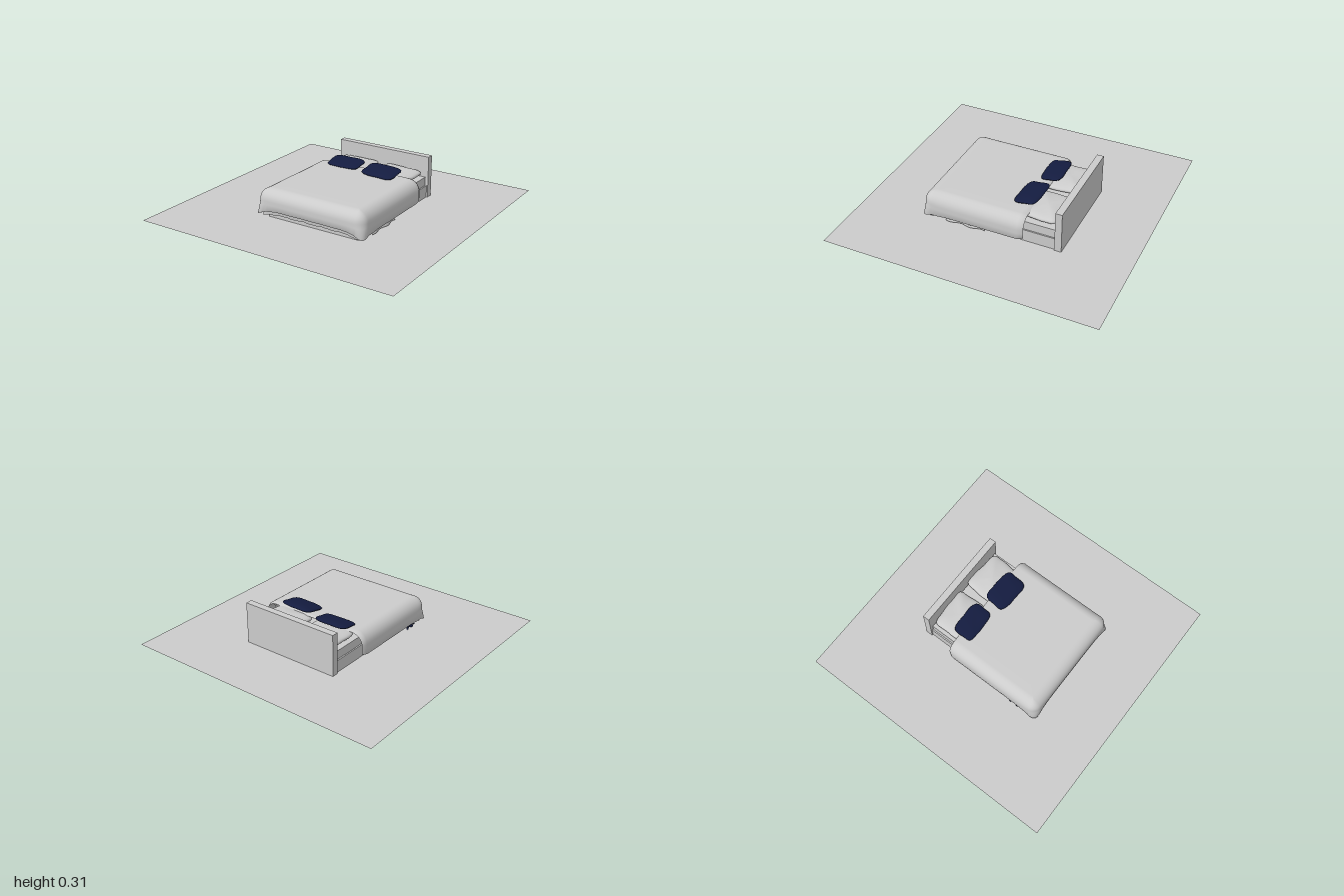
import * as THREE from 'three';

const grey = new THREE.MeshStandardMaterial({ color: 0xcccccc });
const cloth = new THREE.MeshStandardMaterial({ color: 0xcccccc, side: THREE.DoubleSide });
const navy = new THREE.MeshStandardMaterial({ color: 0x141c40, side: THREE.DoubleSide });
const CX = 0.05; // the bed stands a little off centre

function add(group, name, geometry, material) {
  const mesh = new THREE.Mesh(geometry, material);
  mesh.name = name;
  group.add(mesh);
  return mesh;
}

// Box given by its minimum and maximum corners
function box(group, name, [x0, y0, z0], [x1, y1, z1]) {
  const mesh = add(group, name, new THREE.BoxGeometry(x1 - x0, y1 - y0, z1 - z0), grey);
  mesh.position.set((x0 + x1) / 2, (y0 + y1) / 2, (z0 + z1) / 2);
}

// U-shaped outline of the bedding: down one side, round the foot, up the other
function outline(half, head, foot, r) {
  const pts = [];
  const line = (x0, z0, x1, z1, n) => {
    for (let i = 0; i < n; i++) {
      const t = i / n;
      pts.push([x0 + (x1 - x0) * t, z0 + (z1 - z0) * t]);
    }
  };
  const arc = (cx, cz, a0, a1, n) => {
    for (let i = 0; i < n; i++) {
      const a = a0 + (a1 - a0) * i / n;
      pts.push([cx + r * Math.cos(a), cz + r * Math.sin(a)]);
    }
  };
  line(half, head, half, foot - r, 30);
  arc(half - r, foot - r, 0, Math.PI / 2, 10);
  line(half - r, foot, -half + r, foot, 30);
  arc(-half + r, foot - r, Math.PI / 2, Math.PI, 10);
  line(-half, foot - r, -half, head, 30);
  pts.push([-half, head]);
  return pts;
}

// Thick draped cover: rings run from inside the top, round the hem, to the top
function drape({ half, head, foot, top, sideHem, footHem, thick, flare, wave }) {
  const R = 0.085;
  // [inset, drop from the top (0..1)], hem first
  const steps = [[0, 1], [0, 0.72]];
  for (let i = 0; i <= 7; i++) {
    const a = i / 7 * Math.PI / 2;
    steps.push([R * (1 - Math.cos(a)), 0.55 * (1 - Math.sin(a))]);
  }
  steps.push([0.2, 0], [0.32, 0], [half, 0]);

  const ring = ([inset, drop], shell) => {
    const d = Math.min(half, inset + shell);
    const pts = outline(half - d, head, foot - d, d < half ? Math.max(0.07 - d, 0.004) : 0);
    return pts.map(([x, z], i) => {
      const corner = Math.exp(-(((i - 35) / 5) ** 2)) + Math.exp(-(((i - 75) / 5) ** 2));
      const atFoot = THREE.MathUtils.smoothstep(z, foot - 0.13, foot - 0.03);
      const atHead = 1 - THREE.MathUtils.smoothstep(z, head, head + 0.05);
      const hem = sideHem + (footHem - sideHem) * atFoot + 0.015 * atHead;
      const low = Math.max(0, (drop - 0.5) * 2);
      const ripple = wave * low * (Math.sin(i * 0.9) + 0.6 * Math.sin(i * 2.1 + 1));
      const pull = flare * corner * low * low;
      return new THREE.Vector3(
        CX + x + Math.sign(x) * (pull * 0.6 + ripple * 0.4),
        top - shell - drop * (top - hem) + ripple * 0.6 * (1 - corner) - pull * 1.6 + (drop === 1 ? shell : 0),
        z + pull * 0.6);
    });
  };
  const outer = steps.map((s) => ring(s, 0));
  const inner = steps.map((s) => ring(s, thick));
  // Close the head edge by meeting halfway between both shells
  outer.forEach((o, k) => {
    for (const i of [0, o.length - 1]) {
      const mid = o[i].clone().lerp(inner[k][i], 0.5);
      o[i].copy(mid);
      inner[k][i].copy(mid);
    }
  });
  const rings = [...inner.reverse(), ...outer];
  const n = rings[0].length;
  const index = [];
  for (let k = 0; k < rings.length - 1; k++) {
    for (let i = 0; i < n - 1; i++) {
      const a = k * n + i, b = a + 1, c = a + n, d = c + 1;
      index.push(a, c, b, b, c, d);
    }
  }
  const g = new THREE.BufferGeometry().setFromPoints(rings.flat());
  g.setIndex(index);
  g.computeVertexNormals();
  return g;
}

// Soft cushion: a sphere squared off in plan, with light creases
function cushion(w, h, d, n, seed) {
  const g = new THREE.SphereGeometry(1, 64, 24);
  const p = g.attributes.position;
  for (let i = 0; i < p.count; i++) {
    const x = p.getX(i), y = p.getY(i), z = p.getZ(i);
    const r = Math.hypot(x, z);
    const angle = Math.atan2(z, x); // stays defined at the poles
    const c = Math.cos(angle), s = Math.sin(angle);
    const k = 1 / (Math.abs(c) ** n + Math.abs(s) ** n) ** (1 / n);
    const crease = 0.05 * Math.sin(5 * x + 3 * z + seed) * (1 - r * r);
    const edge = 1 + 0.015 * Math.sin(c * 7 + s * 5 + seed);
    p.setXYZ(i, x * k * edge * w / 2, (Math.sign(y) * Math.abs(y) ** 0.85 + crease) * h / 2, z * k * edge * d / 2);
  }
  g.computeVertexNormals();
  return g;
}

export function createModel() {
  const model = new THREE.Group();
  model.name = 'bedOnFloor';

  // Floor
  const floor = add(model, 'floor', new THREE.PlaneGeometry(2, 2), cloth);
  floor.rotation.x = -Math.PI / 2;

  // Frame and mattress
  box(model, 'headboard', [-0.33, 0, -0.51], [0.43, 0.31, -0.46]);
  box(model, 'base', [-0.32, 0, -0.46], [0.42, 0.09, 0.46]);
  box(model, 'mattress', [-0.31, 0.09, -0.455], [0.41, 0.155, 0.45]);

  // Bedding
  add(model, 'duvet', drape({
    half: 0.435, head: -0.25, foot: 0.515, top: 0.215,
    sideHem: 0.05, footHem: 0.07, thick: 0.018, flare: 0.025, wave: 0.001,
  }), cloth);
  add(model, 'underSheet', drape({
    half: 0.415, head: -0.2, foot: 0.495, top: 0.19,
    sideHem: 0.045, footHem: 0.04, thick: 0.008, flare: 0.015, wave: 0.004,
  }), cloth);

  // Loose bedding hanging below the sides
  const flap = new THREE.PlaneGeometry(0.3, 0.045, 20, 3);
  const fp = flap.attributes.position;
  for (let i = 0; i < fp.count; i++) {
    fp.setZ(i, 0.008 * Math.sin(fp.getX(i) * 40) - fp.getY(i) * 0.3);
  }
  flap.computeVertexNormals();
  const leftFlap = add(model, 'leftSheetFlap', flap, cloth);
  leftFlap.position.set(0.45, 0.032, 0.2);
  leftFlap.rotation.y = Math.PI / 2;
  const rightFlap = add(model, 'rightLiningFlap', flap, navy);
  rightFlap.position.set(-0.37, 0.045, 0.34);
  rightFlap.rotation.y = -Math.PI / 2;
  rightFlap.scale.x = 0.35;

  // Two pillows and two accent cushions: size, squareness, position, tilt, turn
  const soft = [
    ['rightPillow', [0.31, 0.07, 0.25], 9, [-0.135, 0.185, -0.335], 0.02, 0.03, grey],
    ['leftPillow', [0.31, 0.07, 0.25], 9, [0.23, 0.185, -0.33], 0.02, -0.08, grey],
    ['rightCushion', [0.26, 0.036, 0.16], 5, [-0.13, 0.231, -0.23], 0.16, 0.02, navy],
    ['leftCushion', [0.265, 0.042, 0.175], 5, [0.195, 0.238, -0.19], 0.17, -0.05, navy],
  ];
  soft.forEach(([name, size, squareness, pos, tilt, turn, material], i) => {
    const mesh = add(model, name, cushion(...size, squareness, i * 1.7), material);
    mesh.position.set(...pos);
    mesh.rotation.set(tilt, turn, 0);
  });

  return model;
}
